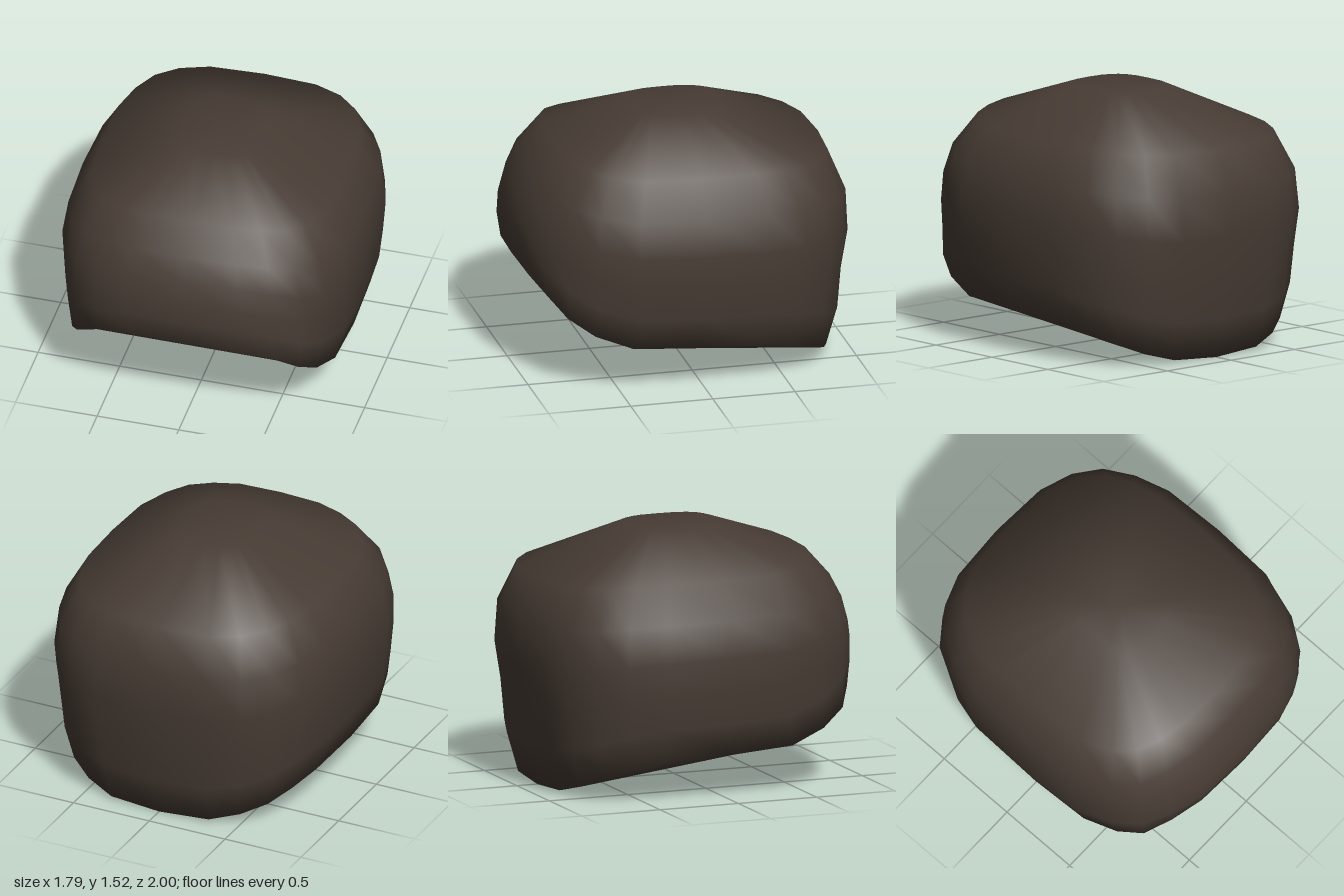
import * as THREE from 'three';

// Plan outline from front centre, round the +x side, to back centre: [x, z]
const OUTLINE = [
  [0, 1], [0.35, 0.98], [0.55, 0.91], [0.705, 0.81], [0.805, 0.65], [0.88, 0.41], [0.895, 0],
  [0.88, -0.4], [0.815, -0.62], [0.715, -0.795], [0.565, -0.91], [0.365, -0.98], [0, -1],
];
// Lower rim in the same order: [x, y, z]
const RIM = [
  [0, 0.65, 0.975], [0.34, 0.63, 0.955], [0.53, 0.56, 0.89], [0.68, 0.46, 0.8], [0.75, 0.36, 0.65],
  [0.8, 0.28, 0.43], [0.81, 0.255, 0.05], [0.79, 0.235, -0.37], [0.73, 0.19, -0.56],
  [0.64, 0.13, -0.71], [0.5, 0.07, -0.8], [0.32, 0.02, -0.86], [0, 0, -0.87],
];

// Vertical profiles from crown to rim: [outline scale, y]
const FRONT = [[0.27, 1.52], [0.74, 1.36], [0.88, 1.2], [0.95, 1.07], [0.99, 0.93], [1, 0.8], [0.975, 0.65]];
const SIDE = [[0.27, 1.52], [0.825, 1.29], [0.965, 1.07], [1, 0.85], [0.985, 0.65], [0.96, 0.45], [0.905, 0.255]];
const BACK = [[0.28, 1.52], [0.89, 1.25], [0.99, 1.0], [1, 0.74], [0.96, 0.5], [0.94, 0.24], [0.87, 0]];

// Underside triangles by rim number: 0 to 12 down the +x side, 13 to 23 back up the -x side
const UNDERSIDE = [
  [0, 23, 1], [1, 23, 22], [1, 22, 2], [2, 22, 4], [2, 4, 3], [22, 19, 4], [22, 21, 20], [22, 20, 19],
  [4, 19, 5], [5, 19, 6], [19, 18, 6], [6, 18, 10], [18, 14, 10], [10, 14, 11], [14, 13, 11], [11, 13, 12],
  [8, 7, 6], [9, 8, 6], [10, 9, 6], [17, 16, 18], [16, 15, 18], [15, 14, 18],
];

const COLUMNS = 24;
const LAST = FRONT.length - 1;

// Smooth normals in which each face counts by its corner angle
function angleNormals(points, index) {
  const corner = (i) => new THREE.Vector3().fromArray(points, 3 * i);
  const sums = Array.from({ length: points.length / 3 }, () => new THREE.Vector3());
  for (let f = 0; f < index.length; f += 3) {
    for (let n = 0; n < 3; n++) {
      const i = index[f + n];
      const u = corner(index[f + ((n + 1) % 3)]).sub(corner(i));
      const v = corner(index[f + ((n + 2) % 3)]).sub(corner(i));
      const angle = u.angleTo(v);
      sums[i].addScaledVector(u.cross(v).normalize(), angle);
    }
  }
  return sums.flatMap((sum) => sum.normalize().toArray());
}

// Rounded shell swept round the outline, closed by an underside that shares the rim
function hairGeometry() {
  const points = [0, 1.52, 0];
  const index = [];
  for (let r = 0; r <= LAST; r++) {
    for (let i = 0; i < COLUMNS; i++) {
      const k = i <= 12 ? i : COLUMNS - i;
      const side = i <= 12 ? 1 : -1;
      const [rimX, rimY, rimZ] = RIM[k];
      if (r === LAST) {
        points.push(side * rimX, rimY, rimZ);
        continue;
      }
      const c = Math.cos((k * Math.PI) / 12);
      const ends = c > 0 ? FRONT : BACK;
      const blend = (row, n) => THREE.MathUtils.lerp(SIDE[row][n], ends[row][n], c * c);
      const scale = blend(r, 0);
      const low = blend(LAST, 1);
      const y = rimY + ((blend(r, 1) - low) * (1.52 - rimY)) / (1.52 - low);
      points.push(side * OUTLINE[k][0] * scale, y, OUTLINE[k][1] * scale);
    }
  }

  // Crown fan and walls
  const at = (r, i) => 1 + r * COLUMNS + (i % COLUMNS);
  for (let i = 0; i < COLUMNS; i++) {
    index.push(0, at(0, i), at(0, i + 1));
    for (let r = 0; r < LAST; r++) {
      index.push(at(r, i), at(r + 1, i), at(r + 1, i + 1));
      index.push(at(r, i), at(r + 1, i + 1), at(r, i + 1));
    }
  }

  // Underside
  for (const triangle of UNDERSIDE) index.push(...triangle.map((i) => at(LAST, i)));

  const geometry = new THREE.BufferGeometry();
  geometry.setAttribute('position', new THREE.Float32BufferAttribute(points, 3));
  geometry.setAttribute('normal', new THREE.Float32BufferAttribute(angleNormals(points, index), 3));
  geometry.setIndex(index);
  return geometry;
}

export function createModel() {
  const group = new THREE.Group();
  group.name = 'hairCap';
  const darkBrown = new THREE.MeshStandardMaterial({ color: 0x473c34, side: THREE.DoubleSide });
  darkBrown.name = 'dark brown';
  const hair = new THREE.Mesh(hairGeometry(), darkBrown);
  hair.name = 'hair';
  group.add(hair);
  return group;
}
